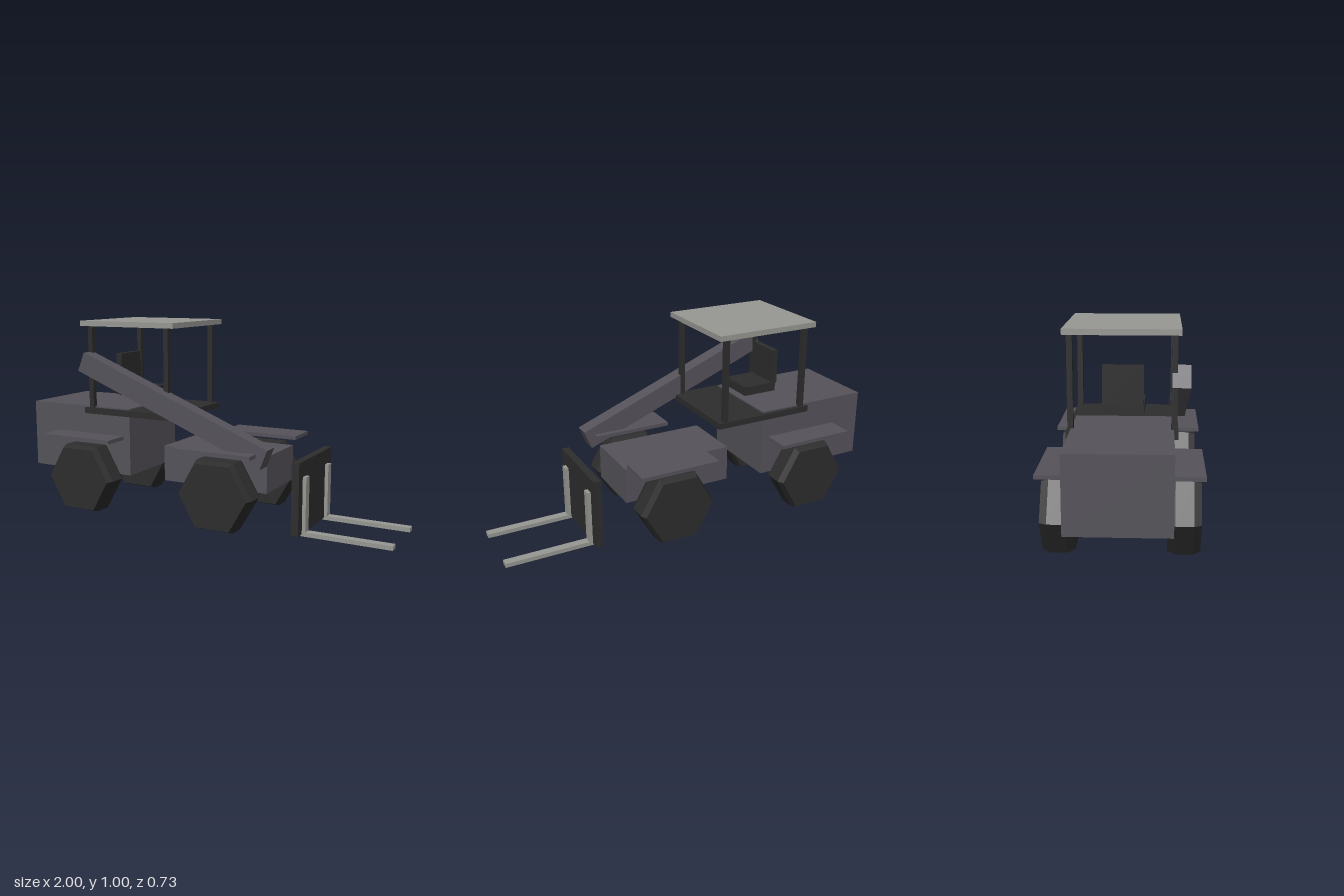
import * as THREE from 'three';

export function createModel() {
  const model = new THREE.Group();
  model.name = 'telescopicForklift';

  const material = (name, color, flatShading = false) => {
    const m = new THREE.MeshStandardMaterial({ color, flatShading });
    m.name = name;
    return m;
  };
  const bodyGrey = material('bodyGrey', 0x55535a);
  const darkGrey = material('darkGrey', 0x2d2d2d, true);
  const paleGrey = material('paleGrey', 0x979793);

  // Box given by its limits on each axis
  const box = (name, mat, [x0, x1], [y0, y1], [z0, z1]) => {
    const mesh = new THREE.Mesh(new THREE.BoxGeometry(x1 - x0, y1 - y0, z1 - z0), mat);
    mesh.position.set((x0 + x1) / 2, (y0 + y1) / 2, (z0 + z1) / 2);
    mesh.name = name;
    model.add(mesh);
    return mesh;
  };
  const both = (h) => [-h, h];
  const sided = (side, a, b) => (side > 0 ? [a, b] : [-b, -a]);

  // Two chassis blocks
  box('engineBody', bodyGrey, [-1, -0.38], [0.203, 0.554], both(0.228));
  box('frontChassis', bodyGrey, [-0.21, 0.37], [0.184, 0.367], both(0.163));

  // Six-sided wheels with bevelled shoulders, each under a flat fender
  const profile = [[0, -0.073], [0.183, -0.073], [0.198, -0.04], [0.198, 0.04], [0.183, 0.073], [0, 0.073]];
  const wheelGeometry = new THREE.LatheGeometry(profile.map(([r, y]) => new THREE.Vector2(r, y)), 6);
  wheelGeometry.rotateY(Math.PI / 6).rotateX(Math.PI / 2);
  for (const [axle, x] of [['rear', -0.627], ['front', 0.165]]) {
    for (const side of [1, -1]) {
      const wheel = new THREE.Mesh(wheelGeometry, darkGrey);
      wheel.position.set(x, 0.183, side * 0.277);
      wheel.name = axle + 'Wheel';
      model.add(wheel);
      box(axle + 'Fender', bodyGrey, [x - 0.208, x + 0.208], [0.389, 0.408], sided(side, 0.19, 0.364));
    }
  }

  // Open cab: floor, four posts and roof
  box('cabFloor', darkGrey, [-0.648, -0.108], [0.516, 0.547], both(0.248));
  for (const x of [-0.607, -0.149]) {
    for (const side of [1, -1]) {
      box('cabPost', darkGrey, [x - 0.013, x + 0.013], [0.54, 0.98], sided(side, 0.216, 0.242));
    }
  }
  box('cabRoof', paleGrey, [-0.657, -0.098], [0.975, 1.002], both(0.258));

  // Seat
  box('seatCushion', darkGrey, [-0.537, -0.35], [0.603, 0.65], both(0.097));
  box('seatBack', darkGrey, [-0.548, -0.517], [0.645, 0.825], both(0.093));

  // Sloping boom on one side
  const boom = box('boom', bodyGrey, both(0.558), both(0.0515), [0.218, 0.3]);
  boom.position.x = -0.107;
  boom.position.y = 0.588;
  boom.rotation.z = -0.378;

  // Fork carriage and two L-shaped forks
  box('forkCarriage', darkGrey, [0.521, 0.559], [0.012, 0.367], both(0.219));
  for (const side of [1, -1]) {
    const z = sided(side, 0.13, 0.172);
    box('forkShank', paleGrey, [0.55, 0.577], [0.01, 0.292], z);
    box('forkTine', paleGrey, [0.54, 1], [0.002, 0.023], z);
  }

  return model;
}
